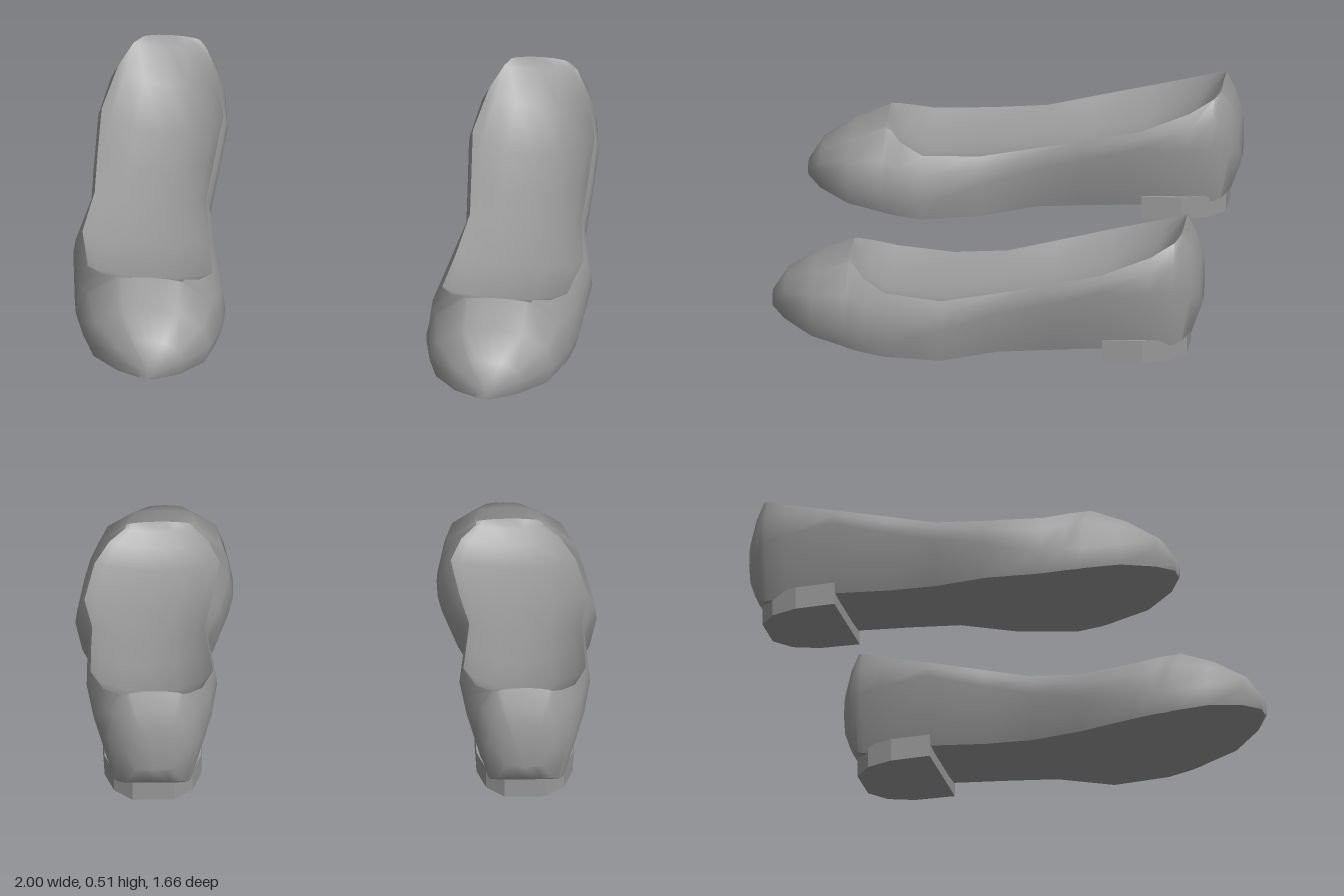
import * as THREE from 'three';
import { toCreasedNormals } from 'three/addons/utils/BufferGeometryUtils.js';

// Cross-sections from heel to toe:
// z, centre x, half width, bottom y, sole fraction, widest y, rim half width, rim y, centre y
const SECTIONS = [
  [-0.83, 0.71, 0.09, 0.18, 0.8, 0.25, 0.06, 0.365, 0.37],
  [-0.80, 0.71, 0.14, 0.10, 0.75, 0.26, 0.09, 0.44, 0.45],
  [-0.765, 0.71, 0.175, 0.07, 0.75, 0.28, 0.11, 0.50, 0.515],
  [-0.74, 0.715, 0.192, 0.06, 0.75, 0.29, 0.14, 0.485, 0.47],
  [-0.65, 0.715, 0.225, 0.05, 0.72, 0.30, 0.19, 0.44, 0.36],
  [-0.46, 0.715, 0.25, 0.045, 0.7, 0.31, 0.235, 0.375, 0.27],
  [-0.25, 0.72, 0.24, 0.03, 0.72, 0.25, 0.225, 0.325, 0.235],
  [-0.06, 0.723, 0.23, 0.02, 0.8, 0.20, 0.215, 0.28, 0.215],
  [0.15, 0.72, 0.28, 0.0, 0.9, 0.14, 0.245, 0.25, 0.20],
  [0.37, 0.683, 0.29, 0.0, 0.94, 0.08, 0.24, 0.255, 0.215],
  [0.46, 0.675, 0.285, 0.01, 0.93, 0.09, 0.19, 0.29, 0.255],
  [0.505, 0.672, 0.277, 0.015, 0.92, 0.10, 0.13, 0.32, 0.30],
  [0.525, 0.67, 0.272, 0.02, 0.92, 0.10, 0.13, 0.322, 0.335],
  [0.66, 0.66, 0.237, 0.04, 0.9, 0.12, 0.12, 0.27, 0.285],
  [0.775, 0.65, 0.135, 0.065, 0.88, 0.13, 0.07, 0.21, 0.22],
  [0.83, 0.65, 0.035, 0.08, 0.85, 0.11, 0.015, 0.135, 0.14],
];

// Closed ring: sole, side, rim, then the insole or the crown of the toe
function ring([z, cx, hw, yb, sole, yw, rh, ry, yc], side) {
  const half = [
    [hw * sole * 0.6, yb],
    [hw * sole, yb + 0.005],
    [hw, yw],
    [rh + (hw - rh) * 0.75, yw + (ry - yw) * 0.6],
    [rh, ry],
    [rh * 0.85, ry + (yc - ry) * 0.4],
    [rh * 0.45, ry + (yc - ry) * 0.85],
  ];
  const left = half.map(([x, y]) => [-x, y]).reverse();
  return [[0, yb], ...half, [0, yc], ...left].map(([x, y]) => [side * cx + x, y, z]);
}

function shoeBody(side) {
  const rings = SECTIONS.map((s) => ring(s, side));
  const n = rings[0].length;
  const last = rings.length - 1;
  const index = [];
  for (let i = 0; i < last; i++) {
    for (let j = 0; j < n; j++) {
      const a = i * n + j, b = i * n + (j + 1) % n;
      index.push(a, b, a + n, b, b + n, a + n);
    }
  }
  // Caps at the back of the heel and the tip of the toe
  for (let j = 1; j < n - 1; j++) {
    index.push(0, j + 1, j);
    index.push(last * n, last * n + j, last * n + j + 1);
  }
  const geometry = new THREE.BufferGeometry();
  geometry.setAttribute('position', new THREE.Float32BufferAttribute(rings.flat(2), 3));
  geometry.setIndex(index);
  return toCreasedNormals(geometry, 0.9);
}

// Low block with a straight front edge and a rounded back
function heelBlock(side) {
  const half = [[0.19, 0.465], [0.185, 0.62], [0.15, 0.72], [0.08, 0.78]];
  const outline = [...half, ...half.map(([x, y]) => [-x, y]).reverse()];
  const shape = new THREE.Shape(outline.map(([x, y]) => new THREE.Vector2(x, y)));
  const geometry = new THREE.ExtrudeGeometry(shape, { depth: 0.09, bevelEnabled: false });
  geometry.rotateX(-Math.PI / 2);
  geometry.translate(side * 0.713, 0, 0);
  return geometry;
}

export function createModel() {
  const leather = new THREE.MeshStandardMaterial({ color: 0x999999 });
  leather.name = 'grey leather';
  const model = new THREE.Group();
  model.name = 'pairOfFlatShoes';

  for (const side of [1, -1]) {
    const shoe = new THREE.Group();
    shoe.name = side > 0 ? 'leftShoe' : 'rightShoe';
    const body = new THREE.Mesh(shoeBody(side), leather);
    body.name = 'shoeBody';
    const heel = new THREE.Mesh(heelBlock(side), leather);
    heel.name = 'heelBlock';
    shoe.add(body, heel);
    model.add(shoe);
  }
  return model;
}
